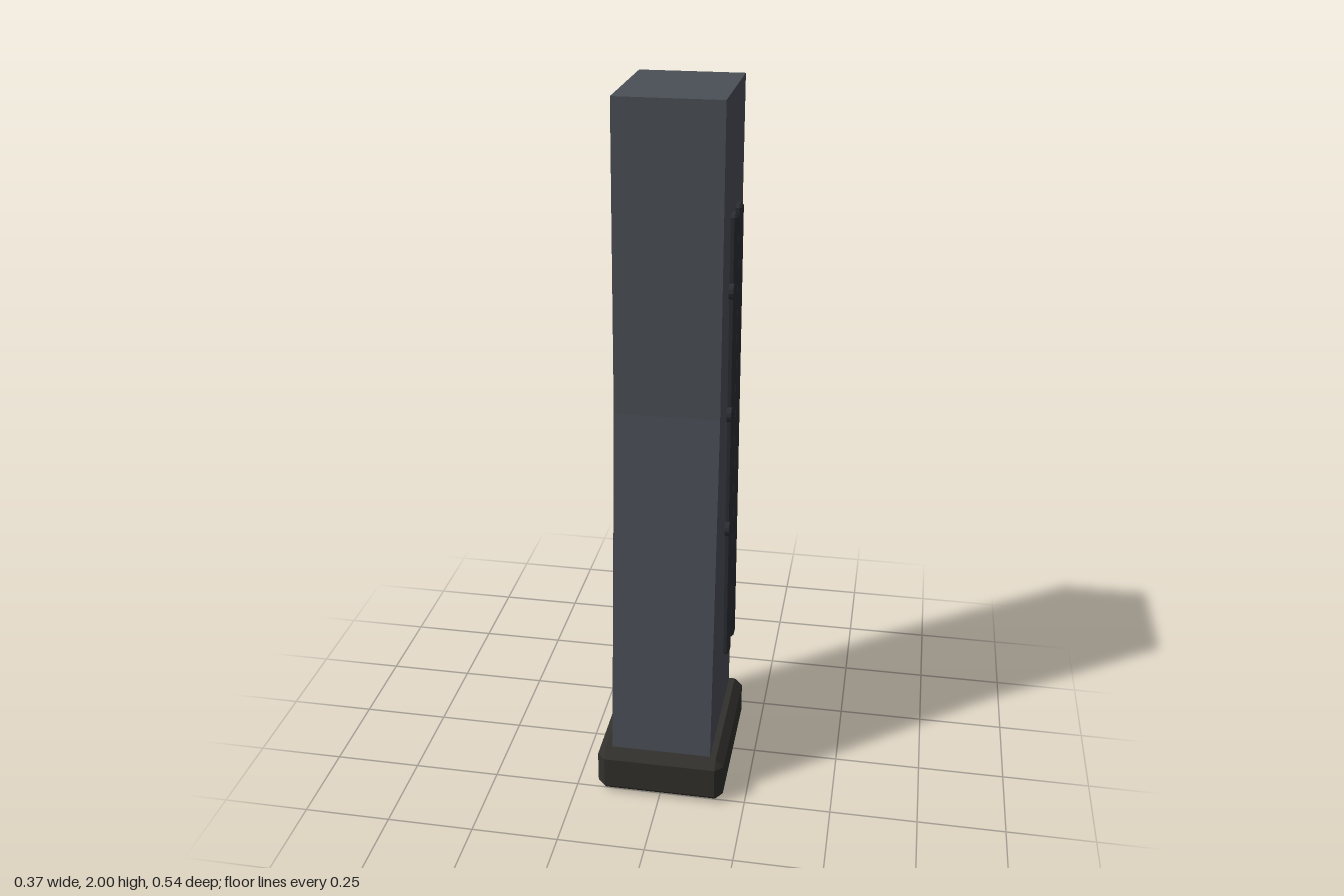
import * as THREE from 'three';
import { ConvexGeometry } from 'three/addons/geometries/ConvexGeometry.js';

const material = (color) => new THREE.MeshStandardMaterial({ color, flatShading: true });

// Box with every edge and corner cut off by c
function chamferBox(w, h, d, c) {
  const x = w / 2, y = h / 2, z = d / 2, points = [];
  for (const sx of [-1, 1]) for (const sy of [-1, 1]) for (const sz of [-1, 1]) {
    points.push(
      new THREE.Vector3(sx * x, sy * (y - c), sz * (z - c)),
      new THREE.Vector3(sx * (x - c), sy * y, sz * (z - c)),
      new THREE.Vector3(sx * (x - c), sy * (y - c), sz * z));
  }
  return new ConvexGeometry(points);
}

export function createModel() {
  const model = new THREE.Group();
  const steel = material(0x4b5058);
  const darkSteel = material(0x2b2e33);
  const polymer = material(0x32312d);

  const add = (name, geometry, mat, x = 0, y = 0, z = 0) => {
    const mesh = new THREE.Mesh(geometry, mat);
    mesh.name = name;
    mesh.position.set(x, y, z);
    model.add(mesh);
  };

  // Bent box body: side profile as (z, y), extruded across the width
  const width = 0.29;
  const profile = new THREE.Shape([
    [0.24, 0.1], [0.127, 1.16], [0.099, 2], [-0.273, 2], [-0.25, 1.16], [-0.157, 0.1],
  ].map(([z, y]) => new THREE.Vector2(z, y)));
  const body = new THREE.ExtrudeGeometry(profile, { depth: width, bevelEnabled: false });
  body.translate(0, 0, -width / 2).rotateY(-Math.PI / 2);
  add('body', body, steel);

  // Chamfered base plate
  add('basePlate', chamferBox(0.372, 0.14, 0.465, 0.023), polymer, 0, 0.07, 0.038);

  // Raised ribs and round studs on both sides
  const rib = chamferBox(0.034, 1.354, 0.046, 0.007);
  const stud = new THREE.CylinderGeometry(0.022, 0.022, 0.026, 12).rotateZ(Math.PI / 2);
  for (const [side, s] of [['left', 1], ['right', -1]]) {
    add(side + 'FrontRib', rib, darkSteel, s * 0.145, 1.005, -0.038);
    add(side + 'RearRib', rib, darkSteel, s * 0.145, 1.005, -0.136);
    for (const y of [0.76, 1.118, 1.475]) add(side + 'Stud', stud, darkSteel, s * 0.145, y, -0.017);
  }
  return model;
}
